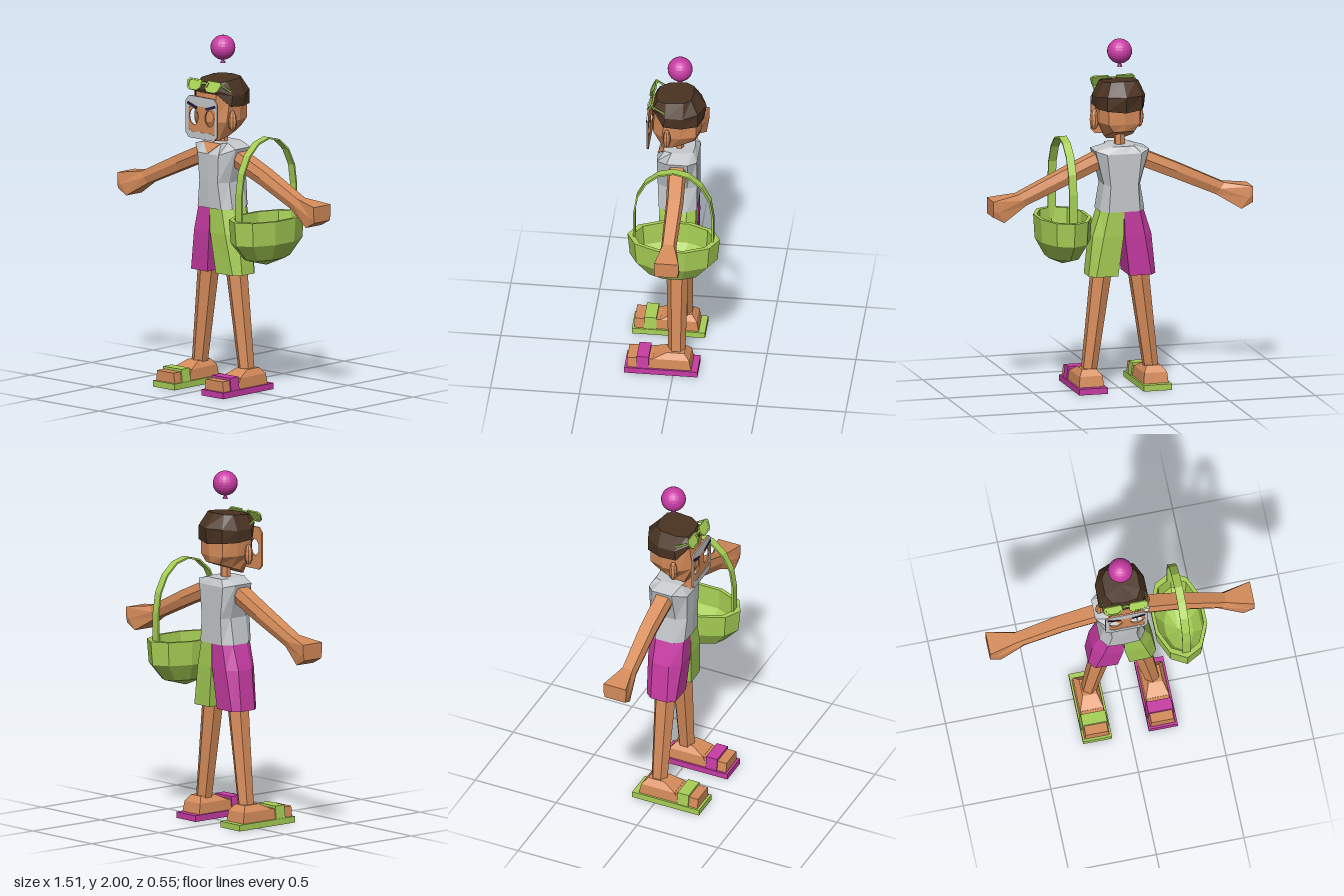
import * as THREE from 'three';

const mat = (name, color) => {
  const m = new THREE.MeshStandardMaterial({ color, flatShading: true });
  m.name = name;
  return m;
};

export function createModel() {
  const root = new THREE.Group();
  const skin = mat('skin', 0xd68c5a);
  const hairBrown = mat('dark brown', 0x4a3322);
  const grey = mat('light grey', 0xc6cacd);
  const pink = mat('magenta', 0xc83ca4);
  const lime = mat('lime green', 0xa8d056);
  const purple = mat('dark purple', 0x2c1c44);

  const add = (name, geo, material, parent = root) => {
    const m = new THREE.Mesh(geo, material);
    m.name = name;
    parent.add(m);
    return m;
  };

  // Closed, capped skin over rings of [x, y, z]; always wound outwards
  const loft = (rings) => {
    const tris = [];
    const n = rings[0].length;
    const mid = (r) => [0, 1, 2].map((k) => r.reduce((a, p) => a + p[k], 0) / n);
    for (let i = 0; i < rings.length - 1; i++) {
      for (let j = 0; j < n; j++) {
        const k = (j + 1) % n, a = rings[i], b = rings[i + 1];
        tris.push([a[j], a[k], b[k]], [a[j], b[k], b[j]]);
      }
    }
    const first = rings[0], last = rings[rings.length - 1];
    const c0 = mid(first), c1 = mid(last);
    for (let j = 0; j < n; j++) {
      const k = (j + 1) % n;
      tris.push([c0, first[k], first[j]], [c1, last[j], last[k]]);
    }
    const v = (p) => new THREE.Vector3(p[0] - c0[0], p[1] - c0[1], p[2] - c0[2]);
    const volume = tris.reduce((s, t) => s + v(t[0]).dot(v(t[1]).cross(v(t[2]))), 0);
    if (volume < 0) tris.forEach((t) => t.reverse());
    const g = new THREE.BufferGeometry();
    g.setAttribute('position', new THREE.Float32BufferAttribute(tris.flat(2), 3));
    g.computeVertexNormals();
    return g;
  };
  // Half outline from front centre to back centre, mirrored to a full ring
  const full = (half) => [...half, ...half.slice(1, -1).reverse().map(([x, y, z]) => [-x, y, z])];
  const level = (y, pts) => pts.map(([x, z]) => [x, y, z]);
  const hex = (cx, y, cz, rx, rz) => Array.from({ length: 6 }, (_, i) => {
    const a = (i * Math.PI) / 3;
    return [cx + Math.sin(a) * rx, y, cz + Math.cos(a) * rz];
  });
  const rect = (x0, x1, z0, z1, y) => [[x0, y, z0], [x1, y, z0], [x1, y, z1], [x0, y, z1]];
  const polygon = (pts) => new THREE.Shape(pts.map(([x, y]) => new THREE.Vector2(x, y)));
  const plate = (shape, depth) =>
    new THREE.ExtrudeGeometry(shape, { depth, bevelEnabled: false, curveSegments: 8 });

  // Balloon floating over the head
  add('balloon', new THREE.SphereGeometry(0.07, 20, 14), pink).position.set(0, 1.93, -0.01);
  add('balloonKnot', new THREE.ConeGeometry(0.016, 0.03, 8), pink).position.set(0, 1.857, -0.01);

  // Head and hair
  add('head', loft([
    [[0, 1.41, 0.09], [0.05, 1.415, 0.08], [0.08, 1.44, 0.03], [0.075, 1.46, -0.03], [0.06, 1.485, -0.1], [0, 1.49, -0.12]],
    [[0, 1.53, 0.148], [0.06, 1.53, 0.135], [0.115, 1.53, 0.08], [0.12, 1.53, -0.02], [0.09, 1.53, -0.11], [0, 1.53, -0.13]],
    [[0, 1.7, 0.137], [0.08, 1.7, 0.125], [0.125, 1.66, 0.065], [0.125, 1.66, -0.03], [0.09, 1.66, -0.11], [0, 1.66, -0.135]],
  ].map(full)), skin);
  add('hair', loft([
    [[0, 1.69, 0.14], [0.085, 1.69, 0.13], [0.14, 1.62, 0.07], [0.135, 1.61, -0.03], [0.1, 1.61, -0.12], [0, 1.6, -0.145]],
    [[0, 1.71, 0.145], [0.09, 1.71, 0.13], [0.14, 1.68, 0.06], [0.14, 1.68, -0.04], [0.1, 1.69, -0.12], [0, 1.69, -0.16]],
    [[0, 1.75, 0.12], [0.07, 1.75, 0.11], [0.1, 1.757, 0.06], [0.1, 1.765, -0.04], [0.07, 1.768, -0.08], [0, 1.77, -0.09]],
  ].map(full)), hairBrown);
  add('neck', loft([hex(0, 1.38, -0.008, 0.033, 0.025), hex(0, 1.48, -0.008, 0.03, 0.025)]), skin);

  // Face plate with open eyes, grey beard frame and brows
  const face = new THREE.Group();
  face.name = 'face';
  face.position.z = 0.156;
  root.add(face);
  const outline = () => polygon([
    [-0.095, 1.43], [0.095, 1.43], [0.12, 1.455], [0.12, 1.64], [0.095, 1.67], [-0.095, 1.67], [-0.12, 1.64], [-0.12, 1.455],
  ]);
  const facePlate = outline();
  for (const s of [-1, 1]) {
    facePlate.holes.push(new THREE.Path().absellipse(s * 0.06, 1.553, 0.035, 0.046, 0, Math.PI * 2));
  }
  add('facePlate', plate(facePlate, 0.008), skin, face);
  const beard = outline();
  beard.holes.push(polygon([
    [-0.1, 1.48], [-0.06, 1.462], [-0.02, 1.472], [0.02, 1.465], [0.06, 1.47], [0.1, 1.462], [0.105, 1.6], [0.07, 1.615], [-0.07, 1.615], [-0.1, 1.6],
  ]));
  add('beardFrame', plate(beard, 0.002), grey, face).position.z = 0.008;
  for (const s of [-1, 1]) {
    const brow = add('eyebrow', new THREE.BoxGeometry(0.075, 0.015, 0.003), purple, face);
    brow.position.set(s * 0.07, 1.616, 0.0115);
    brow.rotation.z = s * 0.32;
  }

  // Glasses pushed up on the hair
  const glasses = new THREE.Group();
  glasses.name = 'glasses';
  glasses.position.set(0, 1.73, 0.143);
  root.add(glasses);
  const front = new THREE.Group();
  front.rotation.x = -0.49;
  glasses.add(front);
  for (const s of [-1, 1]) {
    const rim = (k) => polygon([[-0.045, 0.033], [0.045, 0.033], [0.06, 0.018], [0.048, -0.02], [0.03, -0.033], [-0.03, -0.033], [-0.052, -0.012]]
      .map(([x, y]) => [s * (0.069 + x * k), y * k]));
    const frame = rim(1);
    frame.holes.push(rim(0.75));
    add('glassesRim', plate(frame, 0.01), lime, front);
    add('lens', plate(rim(0.8), 0.003), lime, front).position.z = 0.003;
    const temple = add('temple', new THREE.BoxGeometry(0.007, 0.01, 0.115), lime, glasses);
    temple.position.set(s * 0.125, -0.012, -0.055);
    temple.rotation.x = -0.56;
  }
  add('bridge', new THREE.BoxGeometry(0.04, 0.012, 0.01), lime, front).position.set(0, 0.015, 0.005);

  // Sleeveless shirt with a V neck
  add('shirt', loft([
    level(1.03, [[0, 0.105], [0.09, 0.1], [0.13, 0.05], [0.13, -0.06], [0.09, -0.115], [0, -0.115]]),
    level(1.18, [[0, 0.113], [0.07, 0.108], [0.105, 0.05], [0.105, -0.06], [0.08, -0.115], [0, -0.115]]),
    [[0, 1.34, 0.115], [0.08, 1.34, 0.112], [0.155, 1.375, 0.05], [0.155, 1.375, -0.07], [0.1, 1.36, -0.115], [0, 1.36, -0.115]],
    level(1.4, [[0, 0.075], [0.065, 0.072], [0.075, 0.03], [0.075, -0.05], [0.06, -0.09], [0, -0.095]]),
  ].map(full)), grey);
  const vee = (d) => [[-0.065, 1.4, 0.073 + d], [0.065, 1.4, 0.073 + d], [0, 1.34, 0.113 + d]];
  add('neckline', loft([vee(0), vee(0.006)]), skin);

  // Arm cross-section from a top point, a bottom point and a z range
  const armRing = (s, xt, yt, xb, yb, z0, z1) => {
    const c = (z0 + z1) / 2, h = (z1 - z0) * 0.36, x = s * (xt + xb) / 2, y = (yt + yb) / 2;
    return [[s * xt, yt, c - h], [s * xt, yt, c + h], [x, y, z1], [s * xb, yb, c + h], [s * xb, yb, c - h], [x, y, z0]];
  };

  for (const s of [-1, 1]) {
    const ear = add('ear', new THREE.SphereGeometry(1, 8, 6), skin);
    ear.scale.set(0.027, 0.06, 0.022);
    ear.position.set(s * 0.13, 1.535, 0.05);

    add('arm', loft([
      armRing(s, 0.14, 1.36, 0.12, 1.27, -0.06, 0.045),
      armRing(s, 0.34, 1.272, 0.31, 1.19, -0.065, 0.032),
      armRing(s, 0.6, 1.148, 0.55, 1.085, -0.055, 0.03),
    ]), skin);
    add('hand', loft([
      armRing(s, 0.6, 1.148, 0.55, 1.085, -0.055, 0.03),
      [[s * 0.755, 1.125, -0.088], [s * 0.755, 1.125, 0.05], [s * 0.73, 1.06, 0.052],
        [s * 0.69, 1.0, 0.045], [s * 0.69, 1.0, -0.08], [s * 0.73, 1.06, -0.09]],
      [[s * 0.755, 1.125, -0.088], [s * 0.755, 1.125, 0.05], [s * 0.755, 1.07, 0.05],
        [s * 0.755, 1.035, 0.045], [s * 0.755, 1.035, -0.08], [s * 0.755, 1.07, -0.088]],
    ]), skin);

    // Two-coloured shorts
    add('shortsLeg', loft([
      level(1.03, [[0, 0.095], [0.09, 0.095], [0.125, 0.04], [0.125, -0.06], [0.09, -0.11], [0, -0.11]]),
      level(0.89, [[0.004, 0.098], [0.12, 0.098], [0.17, 0.04], [0.17, -0.06], [0.12, -0.11], [0.004, -0.11]]),
      level(0.66, [[0.033, 0.083], [0.16, 0.08], [0.194, 0.04], [0.194, -0.06], [0.16, -0.1], [0.033, -0.1]]),
    ].map((r) => r.map(([x, y, z]) => [s * x, y, z]))), s > 0 ? lime : pink);
    add('leg', loft([
      hex(s * 0.107, 0.68, -0.008, 0.062, 0.064),
      hex(s * 0.18, 0.11, -0.012, 0.045, 0.048),
    ]), skin);

    // Foot and sandal
    const shoe = s > 0 ? pink : lime;
    const foot = new THREE.Group();
    foot.name = 'sandalFoot';
    foot.position.x = s * 0.1875;
    root.add(foot);
    add('sole', new THREE.BoxGeometry(0.165, 0.035, 0.412), shoe, foot).position.set(0, 0.0175, 0.068);
    add('toes', loft([rect(-0.072, 0.072, 0.1, 0.26, 0.03), rect(-0.064, 0.064, 0.1, 0.26, 0.094)]), skin, foot);
    add('ankle', loft([
      rect(-0.072, 0.072, -0.102, 0.15, 0.03),
      rect(-0.066, 0.066, -0.09, 0.115, 0.095),
      rect(-0.038, 0.044, -0.06, 0.04, 0.13),
    ]), skin, foot);
    add('strap', loft([rect(-0.079, 0.079, 0.137, 0.205, 0.03), rect(-0.07, 0.07, 0.137, 0.205, 0.108)]), shoe, foot);
  }

  // Basket hanging from the left arm
  const basket = new THREE.Group();
  basket.name = 'basket';
  basket.position.set(0.333, 0, -0.012);
  root.add(basket);
  const profile = [[0, 0.735], [0.62, 0.78], [0.95, 0.875], [1, 1.01], [0.87, 1.01], [0.83, 0.885], [0.52, 0.81], [0, 0.775]];
  add('bowl', new THREE.LatheGeometry(profile.map(([x, y]) => new THREE.Vector2(x, y)), 10), lime, basket)
    .scale.set(0.155, 1, 0.26);
  const arch = (rz, h) => {
    const pts = [[rz, 0.95]];
    for (let i = 0; i <= 8; i++) {
      const a = (i * Math.PI) / 8;
      pts.push([Math.cos(a) * rz, 1.17 + Math.sin(a) * h]);
    }
    return [...pts, [-rz, 0.95]];
  };
  const handle = add('handle', plate(polygon([...arch(0.226, 0.294), ...arch(0.216, 0.284).reverse()]), 0.046), lime, basket);
  handle.rotation.y = Math.PI / 2;
  handle.position.x = -0.023;

  return root;
}
